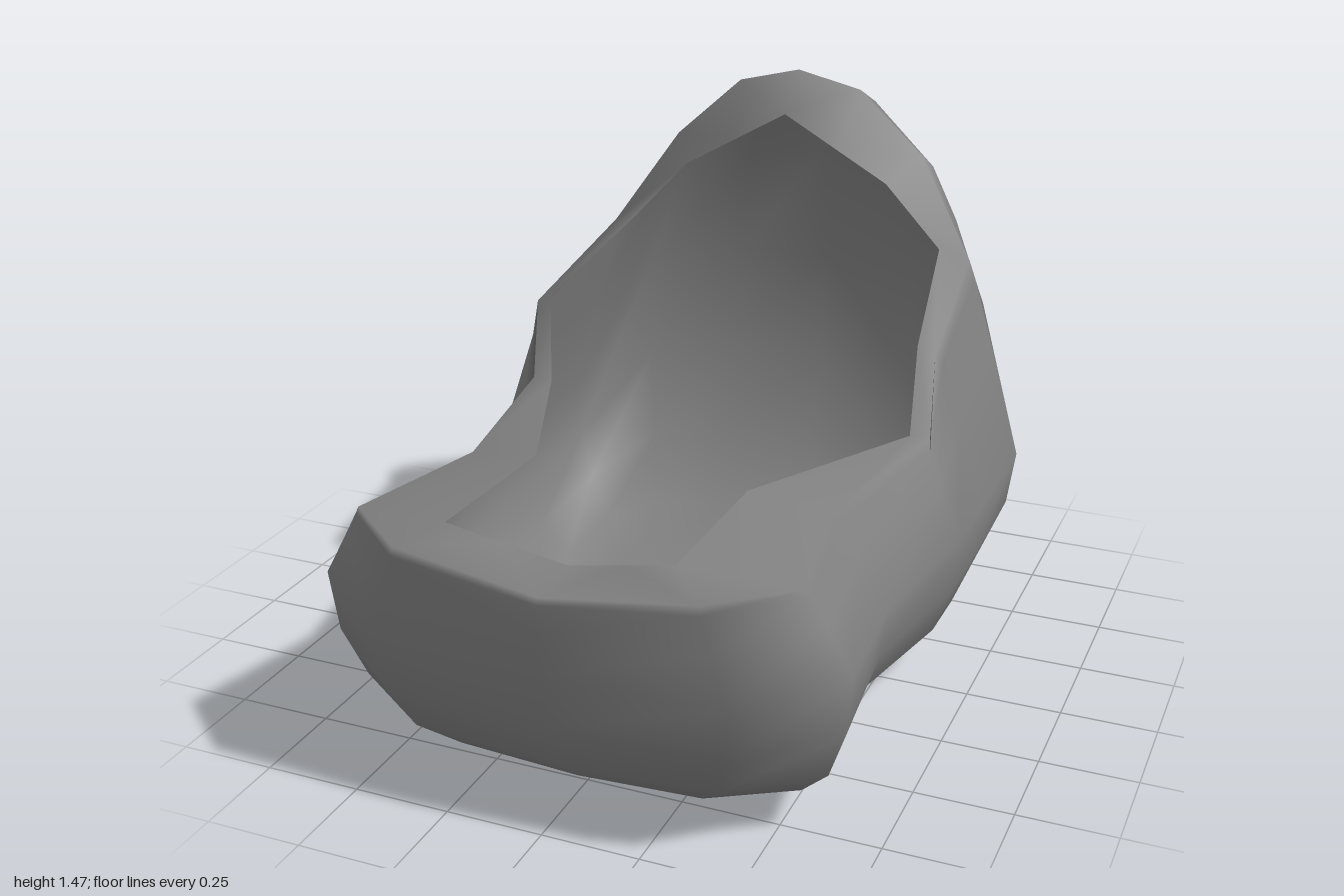
import * as THREE from 'three';
import { mergeVertices } from 'three/addons/utils/BufferGeometryUtils.js';

// Half outlines run from the front centre, round the +x side, to the back centre.
const opening = [
  [0, .62, .82], [.16, .665, .85], [.29, .70, .87], [.285, .69, .42], [.525, .655, -.14],
  [.53, .90, -.16], [.46, 1.03, -.59], [.30, 1.20, -.59], [.15, 1.285, -.59], [0, 1.37, -.59],
];
const crest = [
  [0, .615, .98], [.38, .66, .96], [.57, .66, .80], [.49, .65, .38], [.58, .66, -.14],
  [.575, .88, -.17], [.54, 1.0, -.62], [.37, 1.26, -.70], [.18, 1.43, -.71], [0, 1.475, -.70],
];
const belly = [
  [0, .42, .99], [.45, .42, .965], [.68, .46, .79], [.63, .41, .37], [.695, .42, -.06],
  [.70, .43, -.25], [.70, .43, -.65], [.53, .80, -.85], [.28, .84, -.98], [0, .84, -1],
];
const base = [
  [0, .02, .69], [.20, .03, .69], [.39, .04, .63], [.38, .075, .31], [.41, .017, -.10],
  [.41, .017, -.25], [.38, .045, -.45], [.28, .045, -.47], [.14, .045, -.47], [0, .045, -.47],
];

// Blends two outlines with separate amounts for x, y and z
const blend = (a, b, tx, ty, tz) => a.map((p, i) =>
  [tx, ty, tz].map((t, k) => p[k] + (b[i][k] - p[k]) * t));

const rad = THREE.MathUtils.degToRad;

// Mirrors each half outline into a loop and skins the loops in order
function skin(halves) {
  const loops = halves.map((h) => [...h, ...h.slice(1, -1).reverse().map(([x, y, z]) => [-x, y, z])]);
  const n = loops[0].length;
  const index = [];
  for (let r = 0; r < loops.length - 1; r++) {
    for (let i = 0; i < n; i++) {
      const j = (i + 1) % n;
      const a = r * n + i, b = r * n + j, c = a + n, d = b + n;
      // the diagonal is mirrored so both sides match
      if (i < n / 2) index.push(a, c, b, b, c, d);
      else index.push(a, c, d, a, d, b);
    }
  }
  const raw = new THREE.BufferGeometry();
  raw.setAttribute('position', new THREE.Float32BufferAttribute(loops.flat(2), 3));
  raw.setIndex(index);
  const geometry = mergeVertices(raw, 1e-4);
  geometry.computeVertexNormals();
  return geometry;
}

export function createModel() {
  const group = new THREE.Group();
  group.name = 'beanbagChair';
  const fabric = new THREE.MeshStandardMaterial({ color: 0x808080, side: THREE.DoubleSide });
  fabric.name = 'grey fabric';

  // Hollow shell, open at the seat: inturned lip, bulging sides, rounded underside
  const shell = [opening, crest];
  for (const deg of [65, 33]) {
    const s = Math.sin(rad(deg)), c = Math.cos(rad(deg));
    shell.push(blend(crest, belly, 1 - s, 1 - s, c));
  }
  shell.push(belly);
  for (const deg of [22.5, 45, 67.5]) {
    const s = Math.sin(rad(deg)), c = Math.cos(rad(deg));
    shell.push(blend(base, belly, c ** 0.75, 1 - s, c));
  }
  // flat sole closing at the centre line
  shell.push(base, base.map(([x, y, z]) => [0, y - .03 * x, z]));

  const body = new THREE.Mesh(skin(shell), fabric);
  body.name = 'body';
  group.add(body);
  return group;
}
